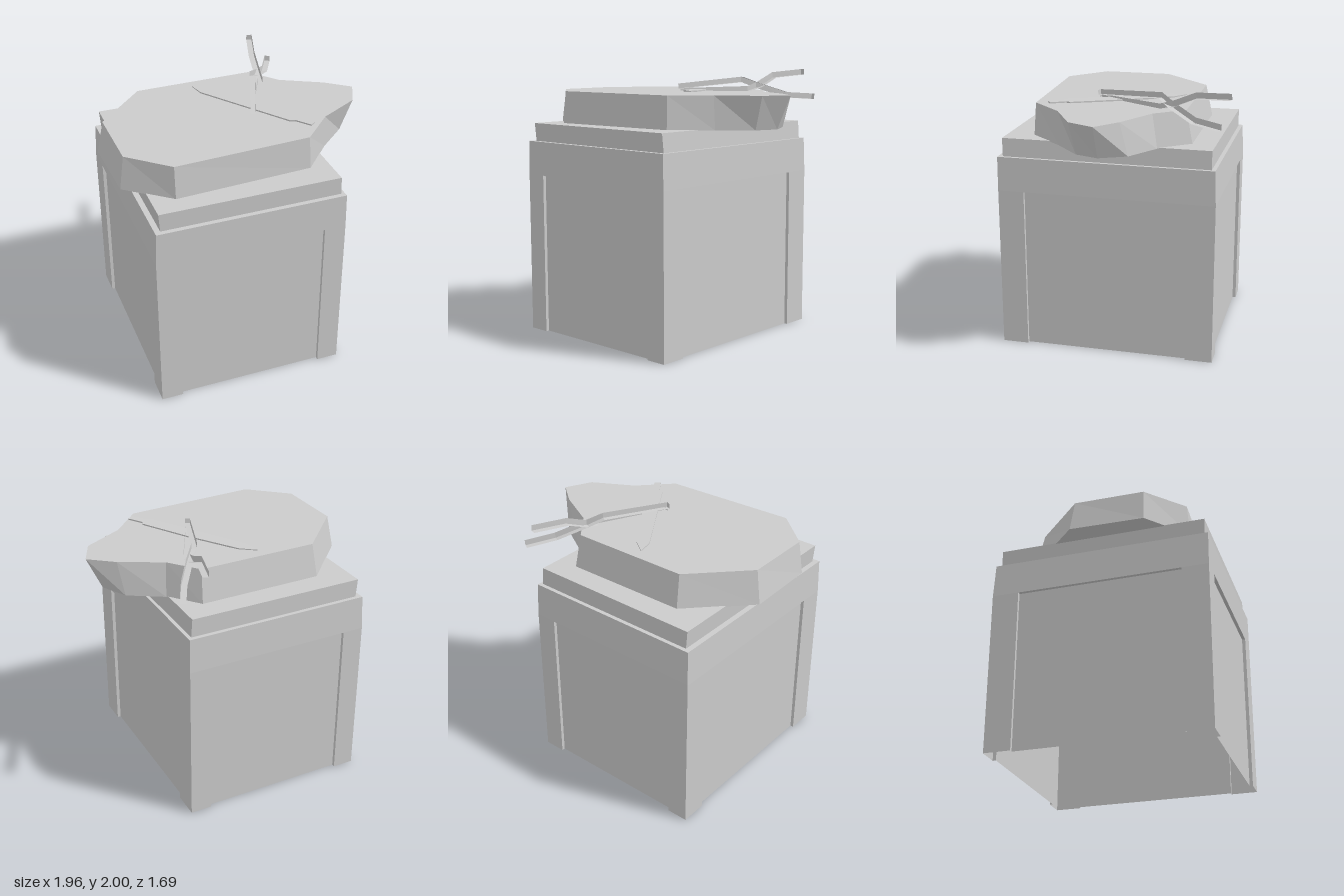
import * as THREE from 'three';

const material = (side = THREE.FrontSide) =>
  new THREE.MeshStandardMaterial({ color: 0xcccccc, flatShading: true, side });

function addMesh(parent, name, geometry, side) {
  const mesh = new THREE.Mesh(geometry, material(side));
  mesh.name = name;
  parent.add(mesh);
  return mesh;
}

// Joins two [x, z] outlines (listed back-left, back-right, front) at heights y0 and y1.
function loft(bottom, top, y0, y1, caps = true) {
  const pos = [];
  const lo = bottom.map(([x, z]) => [x, y0, z]);
  const hi = top.map(([x, z]) => [x, y1, z]);
  lo.forEach((a, i) => {
    const j = (i + 1) % lo.length;
    pos.push(...a, ...hi[i], ...hi[j], ...a, ...hi[j], ...lo[j]);
  });
  if (caps) {
    for (const [ring, up] of [[hi, 1], [lo, -1]]) {
      const flat = ring.map(p => new THREE.Vector2(p[0], p[2]));
      for (const t of THREE.ShapeUtils.triangulateShape(flat, [])) {
        const [a, b, c] = t.map(i => ring[i]);
        const normalY = (b[2] - a[2]) * (c[0] - a[0]) - (b[0] - a[0]) * (c[2] - a[2]);
        pos.push(...a, ...(normalY * up > 0 ? [...b, ...c] : [...c, ...b]));
      }
    }
  }
  const g = new THREE.BufferGeometry();
  g.setAttribute('position', new THREE.Float32BufferAttribute(pos, 3));
  g.computeVertexNormals();
  return g;
}

const rect = (x0, x1, z0, z1) => [[x0, z0], [x1, z0], [x1, z1], [x0, z1]];

// Square bar following a bent path, mitred at the bends; each point is [x, y, z, width].
function bar(points) {
  const p = points.map(q => new THREE.Vector3(q[0], q[1], q[2]));
  const up = new THREE.Vector3(0, 1, 0);
  const rings = p.map((c, i) => {
    const dir = p[Math.min(i + 1, p.length - 1)].clone().sub(p[Math.max(i - 1, 0)]).normalize();
    const side = dir.clone().cross(up).normalize();
    const top = side.clone().cross(dir);
    const h = points[i][3] / 2;
    return [[-1, -1], [1, -1], [1, 1], [-1, 1]].map(([s, t]) =>
      c.clone().addScaledVector(side, s * h).addScaledVector(top, t * h));
  });
  const pos = [];
  const quad = (a, b, c, d) => [a, b, c, a, c, d].forEach(v => pos.push(v.x, v.y, v.z));
  for (let i = 0; i < rings.length - 1; i++) {
    for (let k = 0; k < 4; k++) {
      const n = (k + 1) % 4;
      quad(rings[i][k], rings[i][n], rings[i + 1][n], rings[i + 1][k]);
    }
  }
  const [s, e] = [rings[0], rings[rings.length - 1]];
  quad(s[3], s[2], s[1], s[0]);
  quad(e[0], e[1], e[2], e[3]);
  const g = new THREE.BufferGeometry();
  g.setAttribute('position', new THREE.Float32BufferAttribute(pos, 3));
  g.computeVertexNormals();
  return g;
}

export function createModel() {
  const model = new THREE.Group();
  model.name = 'anvilOnStand';

  // Stand: hollow, open below, with a recessed panel between the corner posts on each side
  const x0 = -0.86, x1 = 0.55, z0 = -0.77, z1 = 0.845, d = 0.025;
  const px0 = -0.7, px1 = 0.39, pz0 = -0.57, pz1 = 0.65;
  const panelled = [
    [x0, z0], [px0, z0], [px0, z0 + d], [px1, z0 + d], [px1, z0],
    [x1, z0], [x1, pz0], [x1 - d, pz0], [x1 - d, pz1], [x1, pz1],
    [x1, z1], [px1, z1], [px1, z1 - d], [px0, z1 - d], [px0, z1],
    [x0, z1], [x0, pz1], [x0 + d, pz1], [x0 + d, pz0], [x0, pz0],
  ];
  const stand = new THREE.Group();
  stand.name = 'stand';
  model.add(stand);
  addMesh(stand, 'postsAndPanels', loft(panelled, panelled, 0, 1.21, false), THREE.DoubleSide);
  const band = rect(x0, x1, z0, z1);
  const bandTop = rect(-0.85, 0.545, -0.76, 0.845);
  addMesh(stand, 'topBand', loft(band, bandTop, 1.21, 1.465));
  addMesh(stand, 'topSlab',
    loft(rect(-0.81, 0.52, -0.73, 0.81), rect(-0.82, 0.51, -0.73, 0.815), 1.465, 1.6));

  // Anvil block with a horn towards +x
  const anvilTop = [
    [-0.935, -0.12], [-0.565, -0.5], [0.33, -0.51], [0.5, -0.3], [0.8, -0.14], [0.975, 0],
    [0.88, 0.2], [0.58, 0.365], [0.355, 0.6], [-0.65, 0.65], [-0.93, 0.4],
  ];
  const anvilBottom = [
    [-0.98, -0.14], [-0.585, -0.55], [0.345, -0.56], [0.52, -0.34], [0.765, -0.19], [0.86, 0],
    [0.8, 0.17], [0.59, 0.36], [0.365, 0.615], [-0.65, 0.67], [-0.965, 0.41],
  ];
  addMesh(model, 'anvil', loft(anvilBottom, anvilTop, 1.595, 1.84));

  // Tongs: two crossing bent bars
  const tongs = new THREE.Group();
  tongs.name = 'tongs';
  model.add(tongs);
  addMesh(tongs, 'tongsLowerHandleArm', bar([
    [0.095, 1.885, 0.19, 0.036], [0.285, 1.925, -0.31, 0.04], [0.37, 1.875, -0.41, 0.042],
    [0.5, 1.805, -0.59, 0.042], [0.605, 1.79, -0.79, 0.042],
  ]));
  addMesh(tongs, 'tongsUpperHandleArm', bar([
    [0.1, 1.86, 0.18, 0.02], [0.35, 1.858, -0.31, 0.036], [0.365, 1.885, -0.42, 0.042],
    [0.385, 1.955, -0.58, 0.042], [0.465, 1.975, -0.84, 0.042],
  ]));

  // Knife lying on the anvil, its handle end slightly raised
  const knifeOutline = [
    [-0.16, -0.42], [-0.05, -0.34], [0.19, 0], [0.395, 0.33], [0.385, 0.36],
    [0.455, 0.46], [0.415, 0.49], [0.34, 0.385], [0.3, 0.37], [-0.135, -0.3],
  ];
  const knife = loft(knifeOutline, knifeOutline, 1.836, 1.846);
  const kp = knife.attributes.position;
  for (let i = 0; i < kp.count; i++) kp.setY(i, kp.getY(i) + (kp.getZ(i) + 0.42) * 0.028);
  knife.computeVertexNormals();
  addMesh(model, 'knife', knife);

  return model;
}
